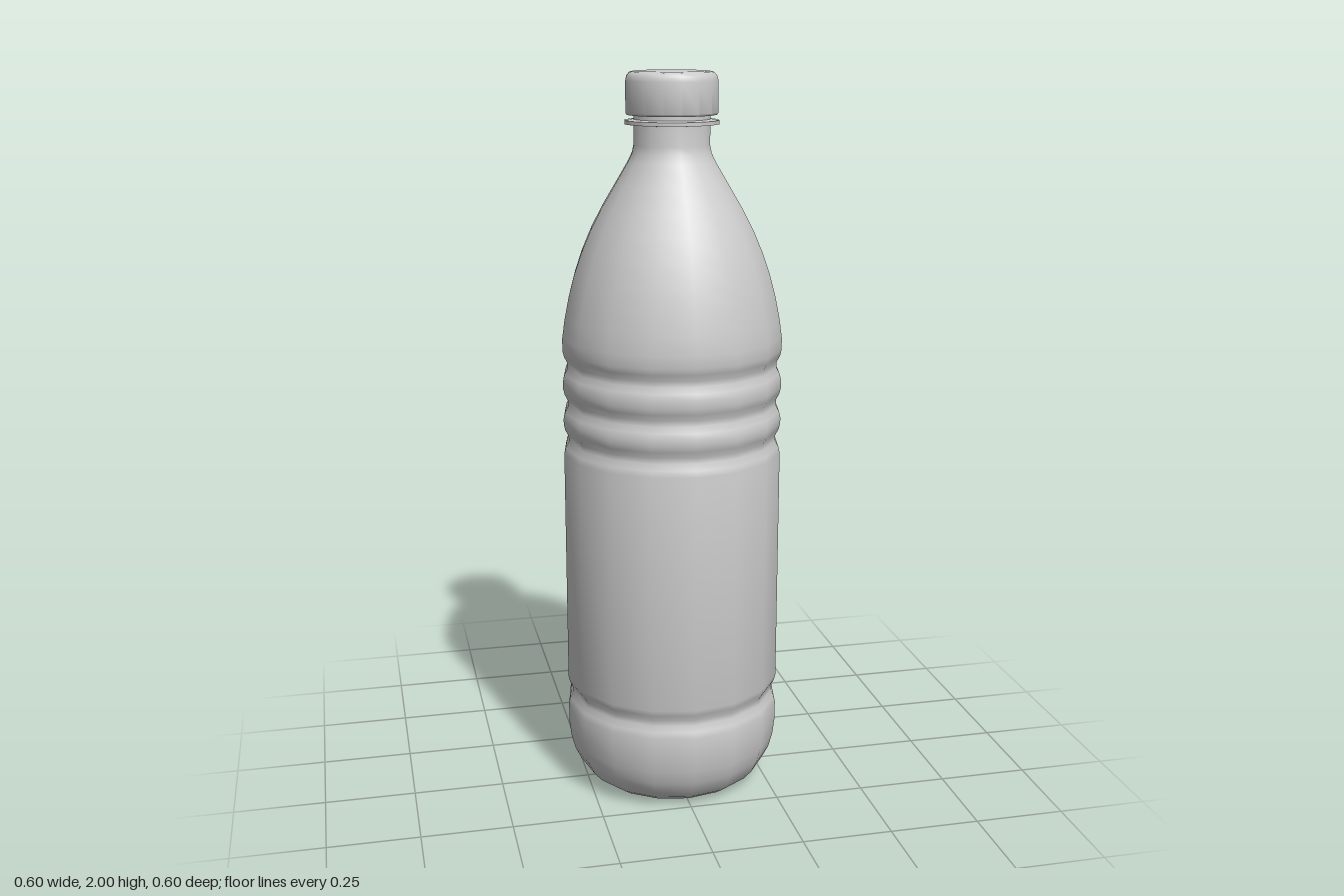
import * as THREE from 'three';
import { toCreasedNormals } from 'three/addons/utils/BufferGeometryUtils.js';

const SIDES = 16;

export function createModel() {
  const bottle = new THREE.Group();
  bottle.name = 'bottle';
  const material = new THREE.MeshStandardMaterial({ color: 0xcccccc });

  // Spin a [radius, height] profile (bottom to top), keeping sharp corners crisp
  const spin = (name, profile) => {
    const points = profile.map(([r, y]) => new THREE.Vector2(r, y));
    const geometry = toCreasedNormals(new THREE.LatheGeometry(points, SIDES), 0.75);
    const mesh = new THREE.Mesh(geometry, material);
    mesh.name = name;
    bottle.add(mesh);
  };

  // A moulded groove with soft shoulders, centred on a height
  const groove = (y) => [
    [0.302, y - 0.042], [0.298, y - 0.025], [0.289, y - 0.008],
    [0.289, y + 0.008], [0.298, y + 0.025], [0.302, y + 0.042],
  ];

  // Body: flat base, rounded foot, grooves, tapering shoulder and neck
  spin('body', [
    [0, 0], [0.19, 0], [0.218, 0.01], [0.245, 0.029], [0.268, 0.056],
    [0.285, 0.09], [0.296, 0.13], [0.302, 0.18],
    ...groove(0.275),
    ...[1.02, 1.12, 1.225].flatMap(groove),
    [0.302, 1.3], [0.295, 1.35], [0.283, 1.41], [0.267, 1.47], [0.246, 1.53],
    [0.22, 1.59], [0.188, 1.65], [0.152, 1.71], [0.118, 1.767],
    [0.107, 1.79], [0.103, 1.81], [0.103, 1.9],
  ]);

  // Thin support ring around the neck
  spin('neckRing', [
    [0.1, 1.862], [0.127, 1.864], [0.127, 1.874], [0.1, 1.877],
  ]);

  // Screw cap with a softened top edge
  spin('cap', [
    [0, 1.888], [0.12, 1.888], [0.124, 1.893], [0.124, 1.975],
    [0.121, 1.988], [0.113, 1.997], [0.1, 2], [0, 2],
  ]);

  return bottle;
}
